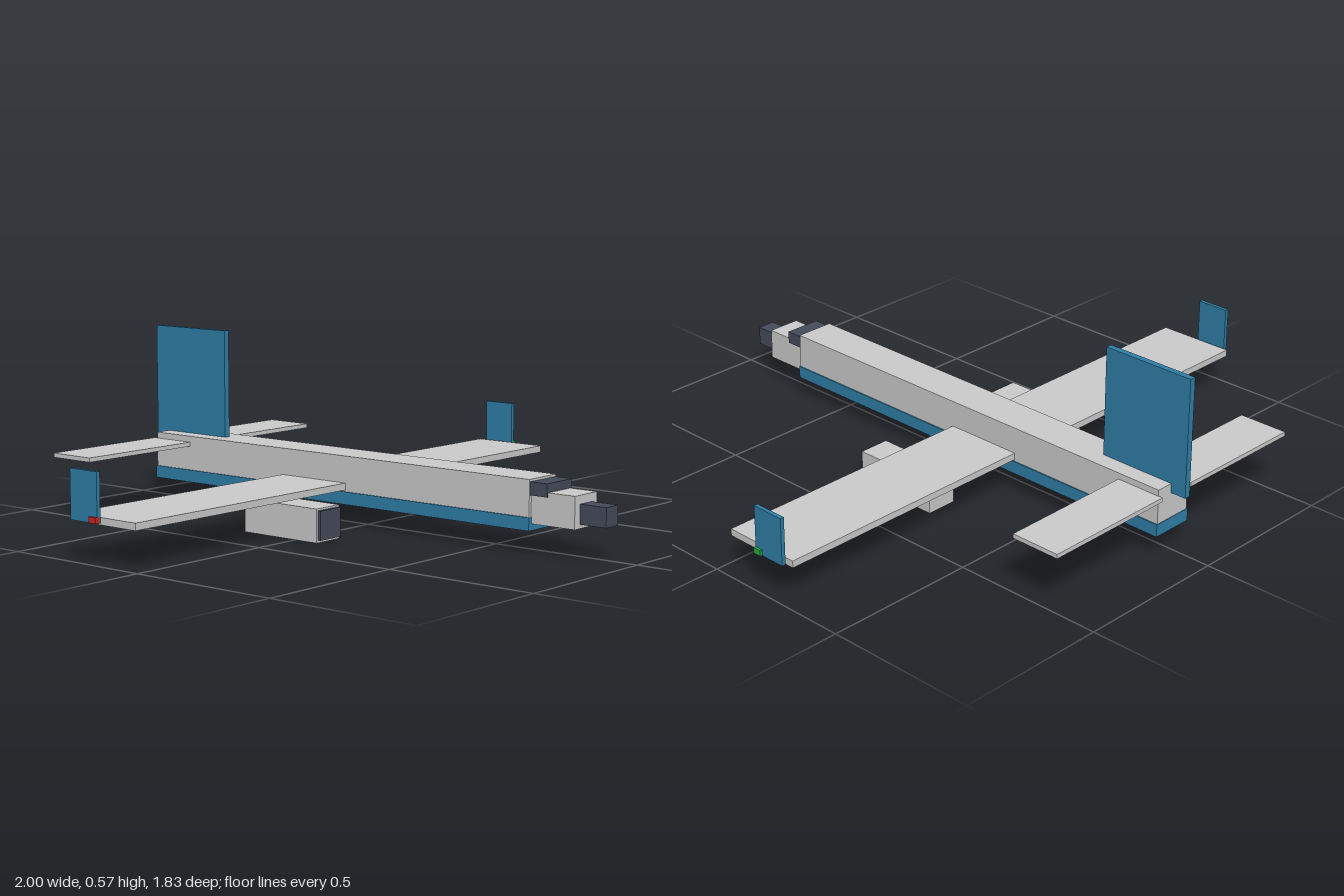
import * as THREE from 'three';

const paint = (color) => new THREE.MeshStandardMaterial({ color, flatShading: true });

export function createModel() {
  const model = new THREE.Group();
  const grey = paint(0xcccccc);
  const blue = paint(0x2f7fa8);
  const dark = paint(0x454b5a);
  const green = paint(0x22aa44);
  const red = paint(0xcc2222);

  // Box from its extents along each axis
  function box(name, [x0, x1], [y0, y1], [z0, z1], material) {
    const mesh = new THREE.Mesh(new THREE.BoxGeometry(x1 - x0, y1 - y0, z1 - z0), material);
    mesh.name = name;
    mesh.position.set((x0 + x1) / 2, (y0 + y1) / 2, (z0 + z1) / 2);
    model.add(mesh);
  }

  // Body on the centre line
  box('fuselage', [-0.066, 0.066], [0.08, 0.22], [-0.86, 0.668], grey);
  box('belly', [-0.07, 0.07], [0.068, 0.108], [-0.862, 0.67], blue);
  box('nose', [-0.056, 0.056], [0.088, 0.186], [0.66, 0.822], grey);
  box('noseTip', [-0.03, 0.03], [0.1, 0.16], [0.82, 0.913], dark);
  box('windscreen', [-0.062, 0.062], [0.173, 0.213], [0.65, 0.728], dark);
  box('tailFin', [-0.01, 0.01], [0.19, 0.57], [-0.913, -0.602], blue);

  // Paired parts, mirrored across the centre line
  for (const [side, s] of [['left', 1], ['right', -1]]) {
    const span = (a, b) => (s > 0 ? [a, b] : [-b, -a]);
    box(side + 'Wing', span(0.05, 0.97), [0.113, 0.135], [-0.298, -0.036], grey);
    box(side + 'Tailplane', span(0.064, 0.515), [0.186, 0.2], [-0.874, -0.709], grey);
    box(side + 'Winglet', span(0.979, 0.992), [0.12, 0.27], [-0.278, -0.168], blue);
    box(side + 'TipLight', span(0.984, 1.0), [0.121, 0.139], [-0.195, -0.167], s > 0 ? green : red);
    box(side + 'Engine', span(0.238, 0.34), [0, 0.104], [-0.206, 0.086], grey);
    box(side + 'Intake', span(0.244, 0.334), [0.008, 0.098], [0.07, 0.097], dark);
  }
  return model;
}
